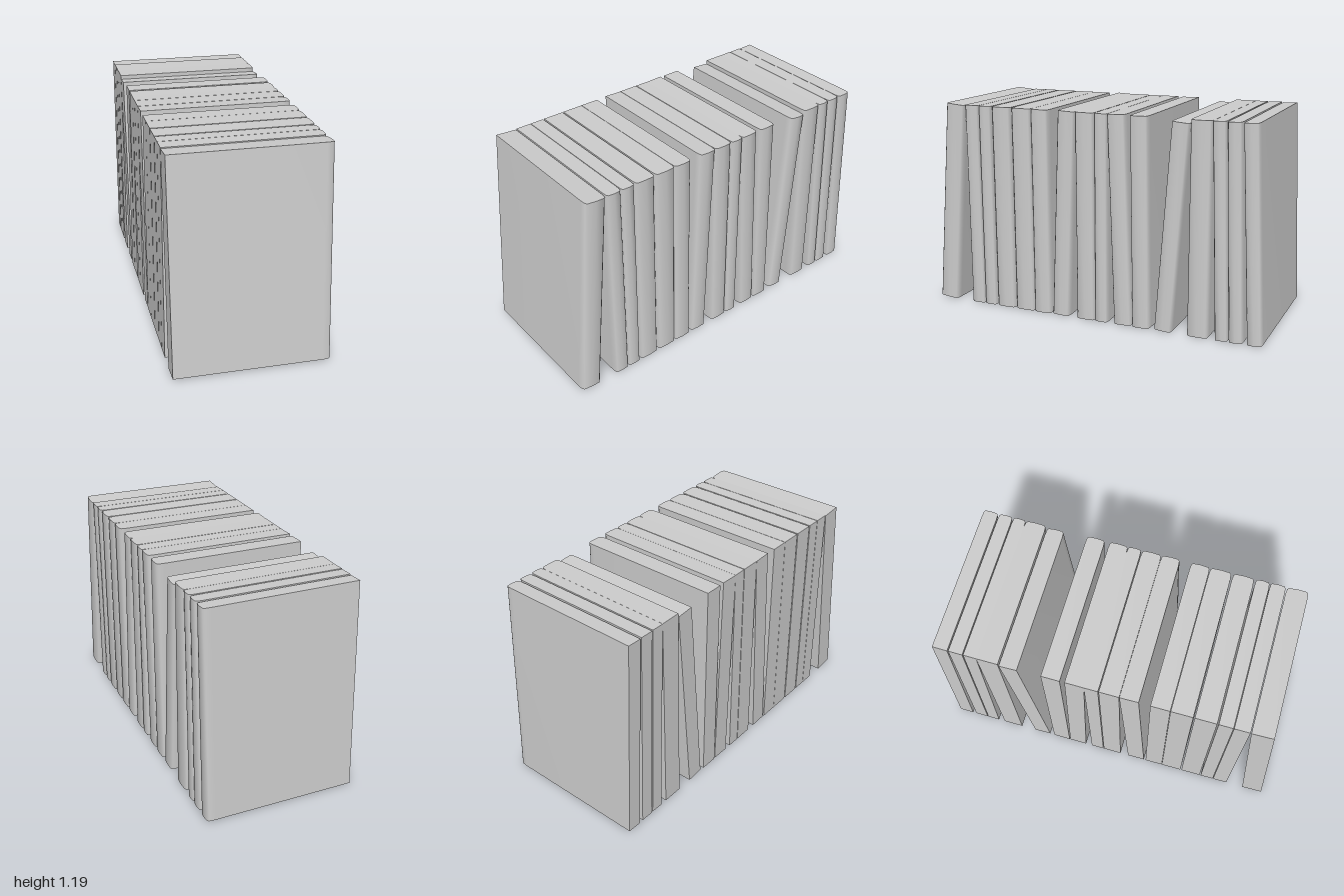
import * as THREE from 'three';
import { toCreasedNormals } from 'three/addons/utils/BufferGeometryUtils.js';

const HEIGHT = 1.182;

// One book: flat covers and fore-edge, softly rounded spine on +x
function bookGeometry(thickness, height) {
  const h = thickness / 2;
  const spine = [[0.38, 1], [0.412, 0.95], [0.421, 0.8], [0.424, 0]];
  const lower = spine.map(([x, s]) => new THREE.Vector2(x, -s * h));
  const upper = spine.slice(0, -1).reverse().map(([x, s]) => new THREE.Vector2(x, s * h));
  const outline = [new THREE.Vector2(-0.425, -h), ...lower, ...upper, new THREE.Vector2(-0.425, h)];
  const geo = new THREE.ExtrudeGeometry(new THREE.Shape(outline), { depth: height, bevelEnabled: false });
  geo.translate(0, 0, -height / 2).rotateX(-Math.PI / 2);
  return toCreasedNormals(geo, 1.0);
}

export function createModel() {
  const group = new THREE.Group();
  group.name = 'bookRow';
  const material = new THREE.MeshStandardMaterial({ color: 0xcccccc });

  // centre z, lean (top z minus bottom z), thickness, optional height
  const books = [
    [0.89, -0.10, 0.12],
    [0.733, 0, 0.086],
    [0.648, 0, 0.078],
    [0.542, 0, 0.118],
    [0.415, 0, 0.12],
    [0.30, 0, 0.106],
    [0.158, -0.05, 0.104],
    [0.025, 0, 0.11],
    [-0.072, 0, 0.076],
    [-0.182, 0.04, 0.105],
    [-0.302, 0.018, 0.103],
    [-0.484, -0.088, 0.10, 1.163],
    [-0.64, 0, 0.118],
    [-0.755, 0.04, 0.072],
    [-0.835, 0.04, 0.077],
    [-0.93, 0.056, 0.083],
  ];

  books.forEach(([z, lean, thickness, height = HEIGHT], i) => {
    const book = new THREE.Mesh(bookGeometry(thickness, height), material);
    const angle = Math.asin(lean / height);
    book.name = `book${i + 1}`;
    book.rotation.x = angle;
    // rest the lowest edge on the ground
    book.position.set(0, (height * Math.cos(angle) + thickness * Math.abs(Math.sin(angle))) / 2, z);
    group.add(book);
  });
  return group;
}
